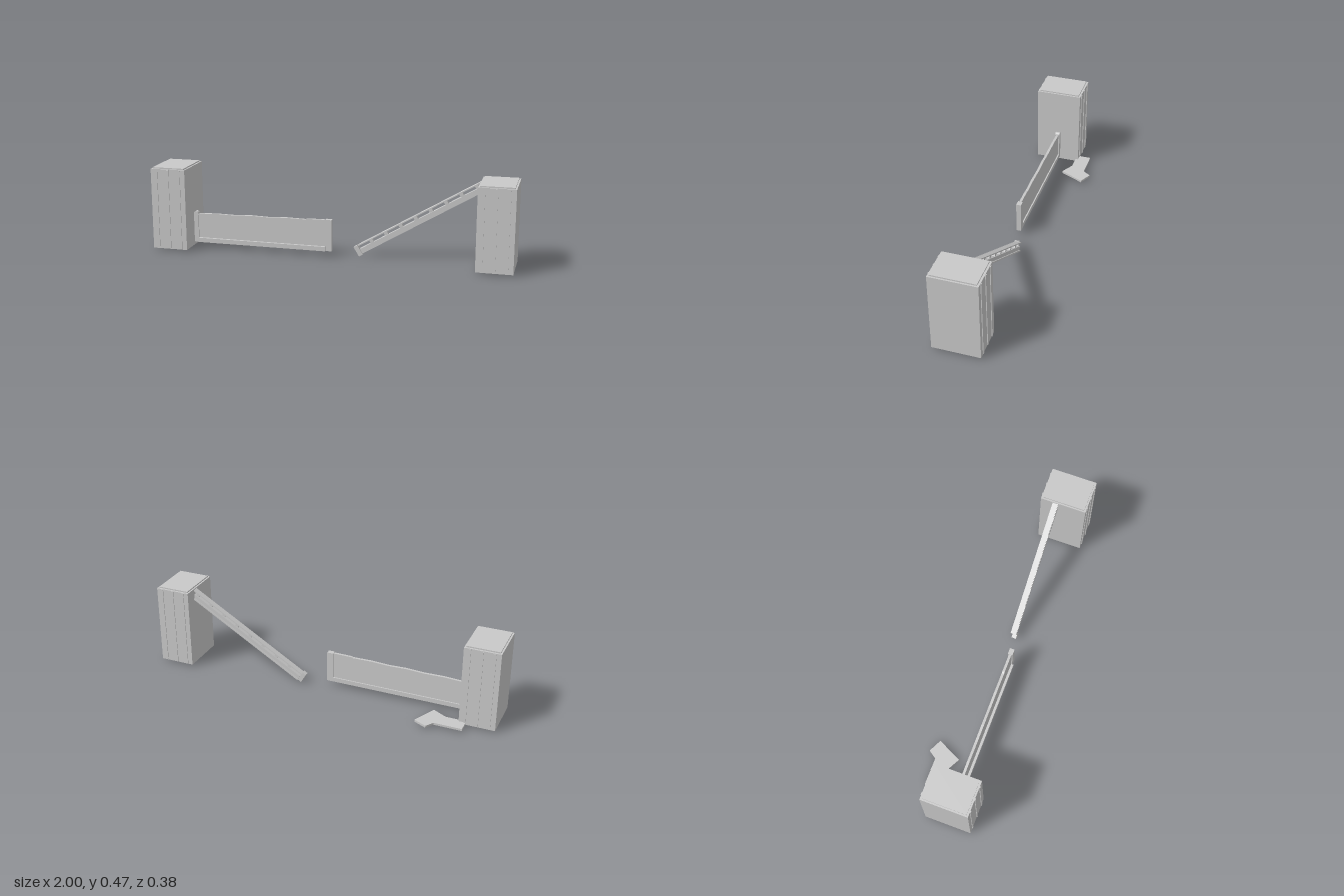
import * as THREE from 'three';

const grey = new THREE.MeshStandardMaterial({ color: 0xc8c8c8 });
grey.name = 'plain grey';

// Box given by its min and max corners
function box(parent, name, [x0, y0, z0], [x1, y1, z1]) {
  const mesh = new THREE.Mesh(new THREE.BoxGeometry(x1 - x0, y1 - y0, z1 - z0), grey);
  mesh.name = name;
  mesh.position.set((x0 + x1) / 2, (y0 + y1) / 2, (z0 + z1) / 2);
  parent.add(mesh);
  return mesh;
}

// Flat outline extruded by a depth
function slab(parent, name, points, depth) {
  const shape = new THREE.Shape(points.map(([x, y]) => new THREE.Vector2(x, y)));
  const mesh = new THREE.Mesh(new THREE.ExtrudeGeometry(shape, { depth, bevelEnabled: false }), grey);
  mesh.name = name;
  parent.add(mesh);
  return mesh;
}

function group(parent, name) {
  const g = new THREE.Group();
  g.name = name;
  parent.add(g);
  return g;
}

// Tall pillar with a low cap and thin ribs on front and back
function addPillar(parent, name, centreX) {
  const p = group(parent, name);
  p.position.x = centreX;
  box(p, 'pillarBody', [-0.099, 0.01, -0.077], [0.099, 0.463, 0.183]);
  box(p, 'pillarCap', [-0.09, 0.463, -0.066], [0.09, 0.47, 0.173]);
  for (const x of [-0.066, 0, 0.066]) {
    box(p, 'frontRib', [x - 0.006, 0.013, 0.183], [x + 0.006, 0.46, 0.187]);
    box(p, 'backRib', [x - 0.006, 0.013, -0.081], [x + 0.006, 0.46, -0.077]);
  }
}

export function createModel() {
  const model = new THREE.Group();
  model.name = 'gateway';
  addPillar(model, 'rightPillar', -0.9);
  addPillar(model, 'leftPillar', 0.9);

  // Upright panel with an uneven top edge, in a three-sided frame
  const gate = group(model, 'panelGate');
  const top = [[-0.035, 0.203], [-0.14, 0.202], [-0.15, 0.198], [-0.26, 0.2], [-0.36, 0.195],
    [-0.46, 0.198], [-0.56, 0.193], [-0.67, 0.195], [-0.775, 0.19]];
  slab(gate, 'panel', [[-0.775, 0.05], [-0.035, 0.05], ...top], 0.014).position.z = 0.045;
  box(gate, 'bottomRail', [-0.775, 0.028, 0.038], [-0.035, 0.053, 0.073]);
  box(gate, 'outerStile', [-0.035, 0.028, 0.038], [0, 0.205, 0.065]);
  box(gate, 'innerStile', [-0.803, 0.028, 0.038], [-0.775, 0.19, 0.065]);
  const knob = new THREE.Mesh(new THREE.CylinderGeometry(0.014, 0.014, 0.027, 16), grey);
  knob.name = 'stileTop';
  knob.rotation.x = Math.PI / 2;
  knob.position.set(-0.789, 0.19, 0.0515);
  gate.add(knob);

  // Sloping barrier: solid lower beam, open row of slots above it
  const barrier = group(model, 'slopingBarrier');
  barrier.position.set(0.147, 0, 0);
  barrier.rotation.z = THREE.MathUtils.degToRad(30.8);
  box(barrier, 'lowerBeam', [0.022, 0.005, -0.004], [0.8, 0.034, 0.024]);
  box(barrier, 'backLedge', [0.022, 0.006, -0.01], [0.8, 0.014, -0.004]);
  box(barrier, 'topRail', [0.022, 0.052, -0.008], [0.8, 0.058, 0.024]);
  box(barrier, 'endBlock', [0, 0, 0.005], [0.024, 0.06, 0.031]);
  for (let i = 1; i <= 8; i++) {
    const u = 0.01 + i * 0.094;
    box(barrier, 'slotDivider', [u - 0.01, 0.034, 0], [u + 0.01, 0.052, 0.02]);
  }

  // Bent flat step behind the right pillar
  const step = slab(model, 'bentStep', [[-0.84, 0.062], [-0.725, 0.062], [-0.648, 0.02],
    [-0.583, 0.155], [-0.655, 0.19], [-0.685, 0.145], [-0.84, 0.145]], 0.012);
  step.rotation.x = -Math.PI / 2;
  step.position.y = 0.011;
  return model;
}
